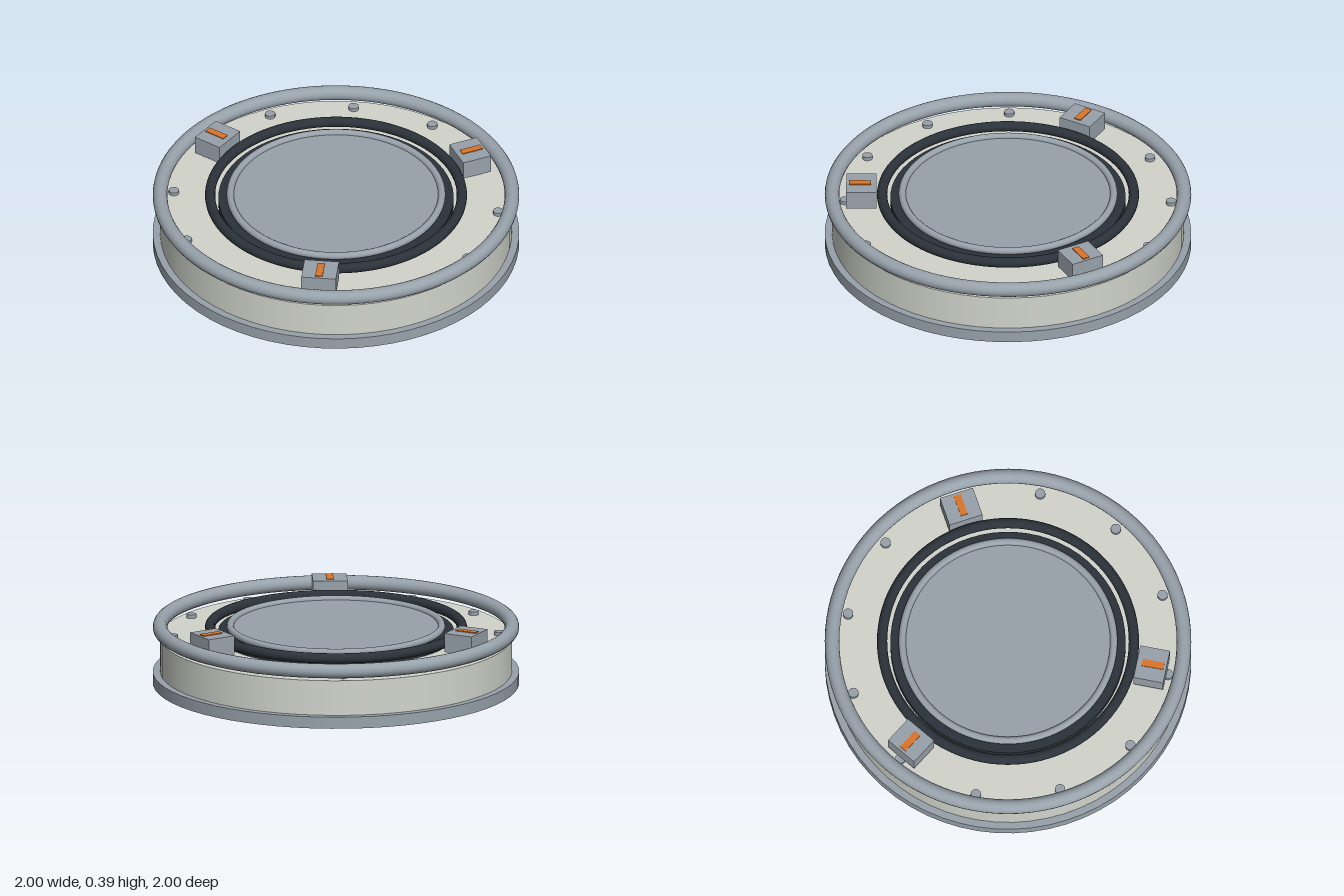
import * as THREE from 'three';

const material = (name, color) => Object.assign(new THREE.MeshStandardMaterial({ color }), { name });

export function createModel() {
  const model = new THREE.Group();
  model.name = 'dockingHatch';
  const metal = material('blueGreyMetal', 0x98a2ab);
  const shell = material('paleShell', 0xd2d5cc);
  const rubber = material('darkRubber', 0x2b3239);
  const orange = material('orangeMark', 0xd9752b);

  const add = (name, geometry, mat, y = 0, parent = model) => {
    const mesh = new THREE.Mesh(geometry, mat);
    mesh.name = name;
    mesh.position.y = y;
    parent.add(mesh);
    return mesh;
  };
  // Upright disc from y0 to y1
  const disc = (name, radius, y0, y1, mat) =>
    add(name, new THREE.CylinderGeometry(radius, radius, y1 - y0, 64), mat, (y0 + y1) / 2);
  // Horizontal ring of round section
  const ring = (name, radius, tube, y, mat) =>
    add(name, new THREE.TorusGeometry(radius, tube, 16, 96).rotateX(Math.PI / 2), mat, y);

  // Base and body
  disc('baseFlange', 1, 0, 0.065, metal);
  disc('body', 0.96, 0.065, 0.26, shell);

  // Hatch in the middle
  disc('hatchCollar', 0.642, 0.26, 0.3, rubber);
  disc('hatchPlate', 0.575, 0.3, 0.32, metal);
  ring('hatchRim', 0.577, 0.02, 0.32, metal);

  // Raised rings
  ring('sealRing', 0.687, 0.028, 0.315, rubber);
  ring('outerRing', 0.96, 0.04, 0.315, metal);

  // Twelve bolts on the body top
  const boltGeometry = new THREE.CylinderGeometry(0.028, 0.028, 0.02, 16);
  for (let i = 0; i < 12; i++) {
    const a = (i * Math.PI) / 6;
    const bolt = add('bolt', boltGeometry, metal, 0.27);
    bolt.position.x = 0.89 * Math.cos(a);
    bolt.position.z = 0.89 * Math.sin(a);
  }

  // Three latches, each with a radial mark
  for (let i = 0; i < 3; i++) {
    const latch = new THREE.Group();
    latch.name = 'latch';
    latch.rotation.y = (i * Math.PI * 2) / 3;
    model.add(latch);
    add('latchBlock', new THREE.BoxGeometry(0.165, 0.105, 0.19), metal, 0.3325, latch).position.x = 0.8;
    add('latchMark', new THREE.BoxGeometry(0.12, 0.006, 0.04), orange, 0.387, latch).position.x = 0.807;
  }
  return model;
}
